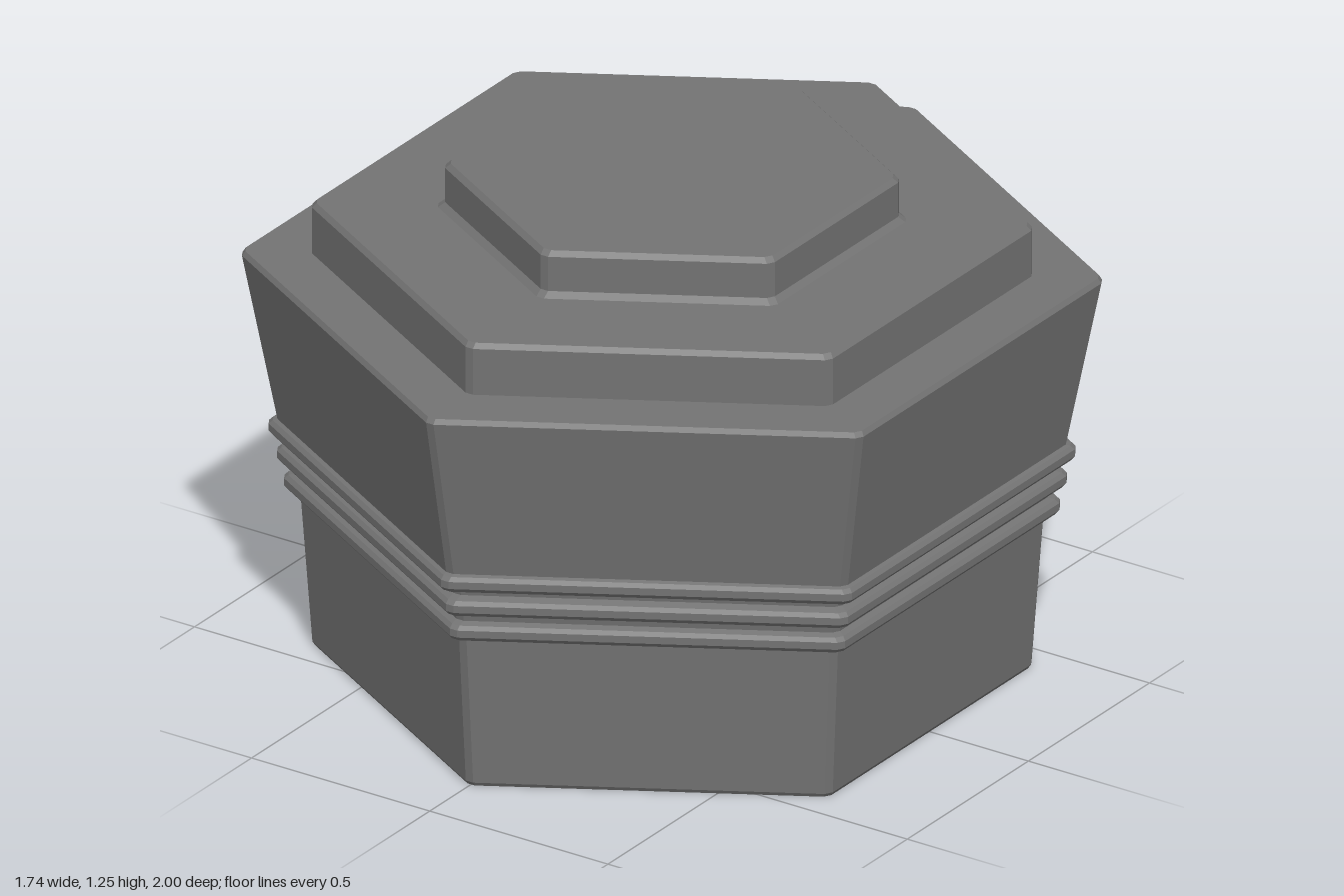
import * as THREE from 'three';

const grey = new THREE.MeshStandardMaterial({ color: 0x737373 });
grey.name = 'stone grey';

// Hexagonal solid with slim corner chamfers; profile is [corner radius, height] from bottom to top
function hexSolid(name, profile, chamfer = 0.012) {
  const pts = [[0, profile[0][1]], ...profile, [0, profile[profile.length - 1][1]]];
  const lathe = new THREE.LatheGeometry(pts.map(([r, y]) => new THREE.Vector2(r, y)), 12);
  const pos = lathe.attributes.position;
  const corner = (k, r) => new THREE.Vector2(Math.sin(k * Math.PI / 3) * r, Math.cos(k * Math.PI / 3) * r);
  // Pull each pair of neighbouring columns to the two sides of one hexagon corner
  for (let i = 0; i < pos.count; i++) {
    const column = Math.floor(i / pts.length) % 12;
    const r = pts[i % pts.length][0];
    const k = Math.floor(column / 2);
    const p = corner(k, r);
    if (r > 0) p.lerp(corner(column % 2 ? k + 1 : k - 1, r), chamfer / r);
    pos.setX(i, p.x);
    pos.setZ(i, p.y);
  }
  const geometry = lathe.toNonIndexed();
  geometry.computeVertexNormals();
  const mesh = new THREE.Mesh(geometry, grey);
  mesh.name = name;
  return mesh;
}

export function createModel() {
  const group = new THREE.Group();
  group.name = 'hexagonalPot';

  // Tapered base and flaring upper body
  group.add(hexSolid('lowerBody', [[0.835, 0], [0.842, 0.01], [0.87, 0.395], [0.88, 0.46]]));
  group.add(hexSolid('upperBody', [[0.88, 0.44], [0.895, 0.53], [0.922, 0.575], [1.006, 1.0], [0.998, 1.012]]));

  // Three rounded bands around the waist
  [[0.42, 0.908], [0.49, 0.924], [0.56, 0.944]].forEach(([y, r], i) => {
    group.add(hexSolid('waistBand' + (i + 1), [
      [r - 0.035, y - 0.028], [r - 0.01, y - 0.02], [r, y - 0.009],
      [r, y + 0.009], [r - 0.01, y + 0.018], [r - 0.035, y + 0.026],
    ]));
  });

  // Stepped lid with bevelled rims
  group.add(hexSolid('lidStep', [[0.843, 1.0], [0.843, 1.13], [0.832, 1.142]]));
  group.add(hexSolid('lidTop', [[0.55, 1.13], [0.55, 1.142], [0.533, 1.155], [0.533, 1.243], [0.52, 1.255]]));

  return group;
}
